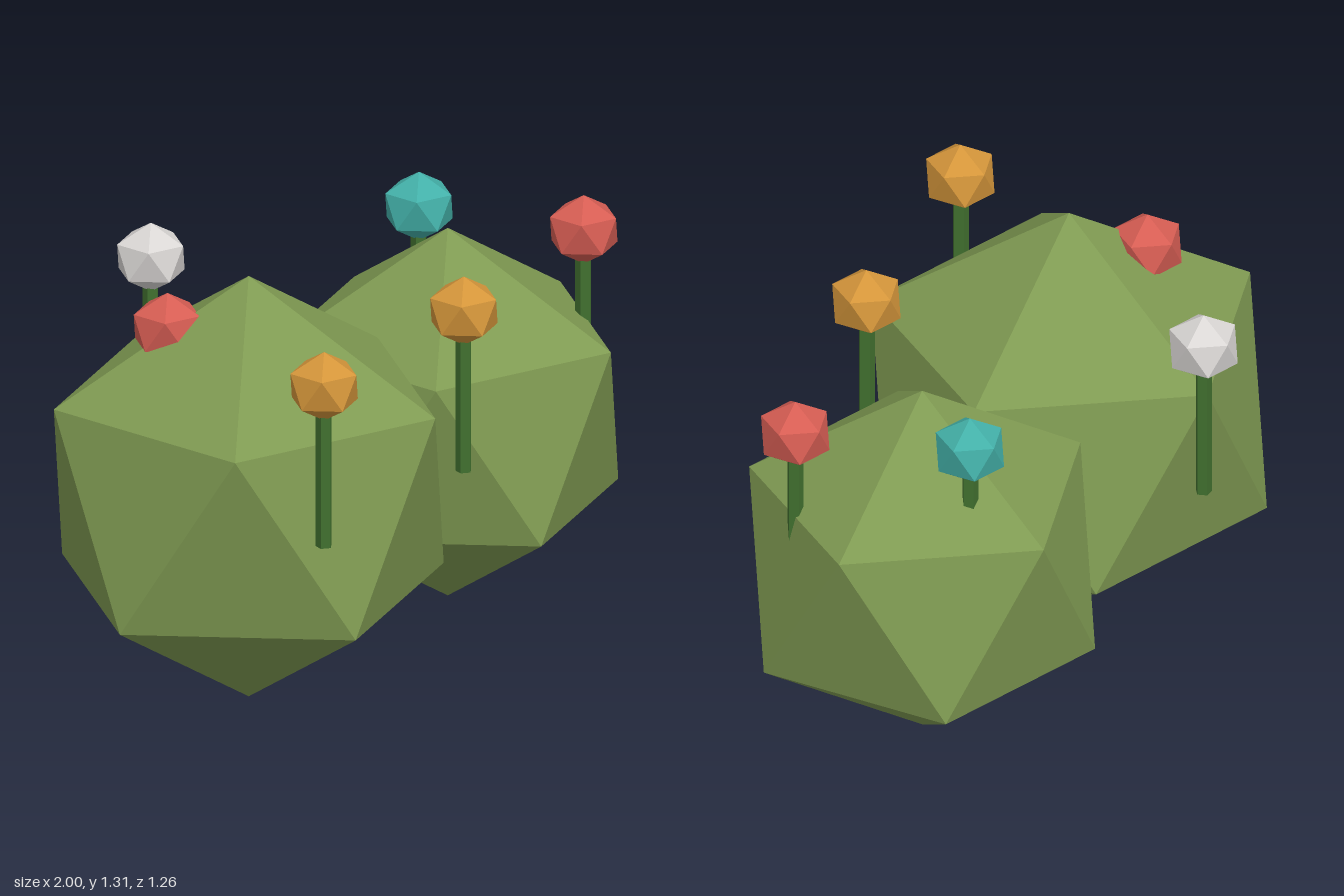
import * as THREE from 'three';

const paint = (name, color) => {
  const m = new THREE.MeshStandardMaterial({ color, flatShading: true });
  m.name = name;
  return m;
};

// Faceted ball standing on one of its corners
function facetedBall(radius, squash = 1) {
  const g = new THREE.IcosahedronGeometry(radius, 0);
  g.rotateZ(-Math.atan(2 / (1 + Math.sqrt(5))));
  g.scale(1, squash, 1);
  g.computeVertexNormals();
  return g;
}

export function createModel() {
  const model = new THREE.Group();
  model.name = 'floweringBush';

  const leaf = paint('leaf green', 0x7f9a52);
  const stemGreen = paint('stem green', 0x41702f);
  const petals = {
    gold: paint('gold', 0xd4953a),
    red: paint('red', 0xd65d53),
    teal: paint('teal', 0x43b0a8),
    white: paint('pale grey', 0xd9d6d4),
  };

  const add = (parent, name, geometry, material, x, y, z) => {
    const mesh = new THREE.Mesh(geometry, material);
    mesh.name = name;
    mesh.position.set(x, y, z);
    parent.add(mesh);
  };

  // Two overlapping leafy clumps
  add(model, 'largeBush', facetedBall(0.653), leaf, -0.415, 0.656, 0.04);
  add(model, 'smallBush', facetedBall(0.571), leaf, 0.487, 0.625, 0.04);

  // Flowers: a ball on a thin five-sided stem
  const headGeometry = facetedBall(0.113, 0.94);
  const stemGeometry = new THREE.CylinderGeometry(0.025, 0.025, 0.48, 5);
  const flowers = [
    ['gold', -0.66, 0.53],
    ['gold', 0.075, 0.445],
    ['red', -0.58, -0.13],
    ['red', 0.81, 0.285],
    ['teal', 0.65, -0.205],
    ['white', -0.17, -0.535],
  ];
  for (const [color, x, z] of flowers) {
    const flower = new THREE.Group();
    flower.name = color + 'Flower';
    flower.position.set(x, 0, z);
    add(flower, 'stem', stemGeometry, stemGreen, 0, 0.9, 0);
    add(flower, 'flowerHead', headGeometry, petals[color], 0, 1.157, 0);
    model.add(flower);
  }
  return model;
}
